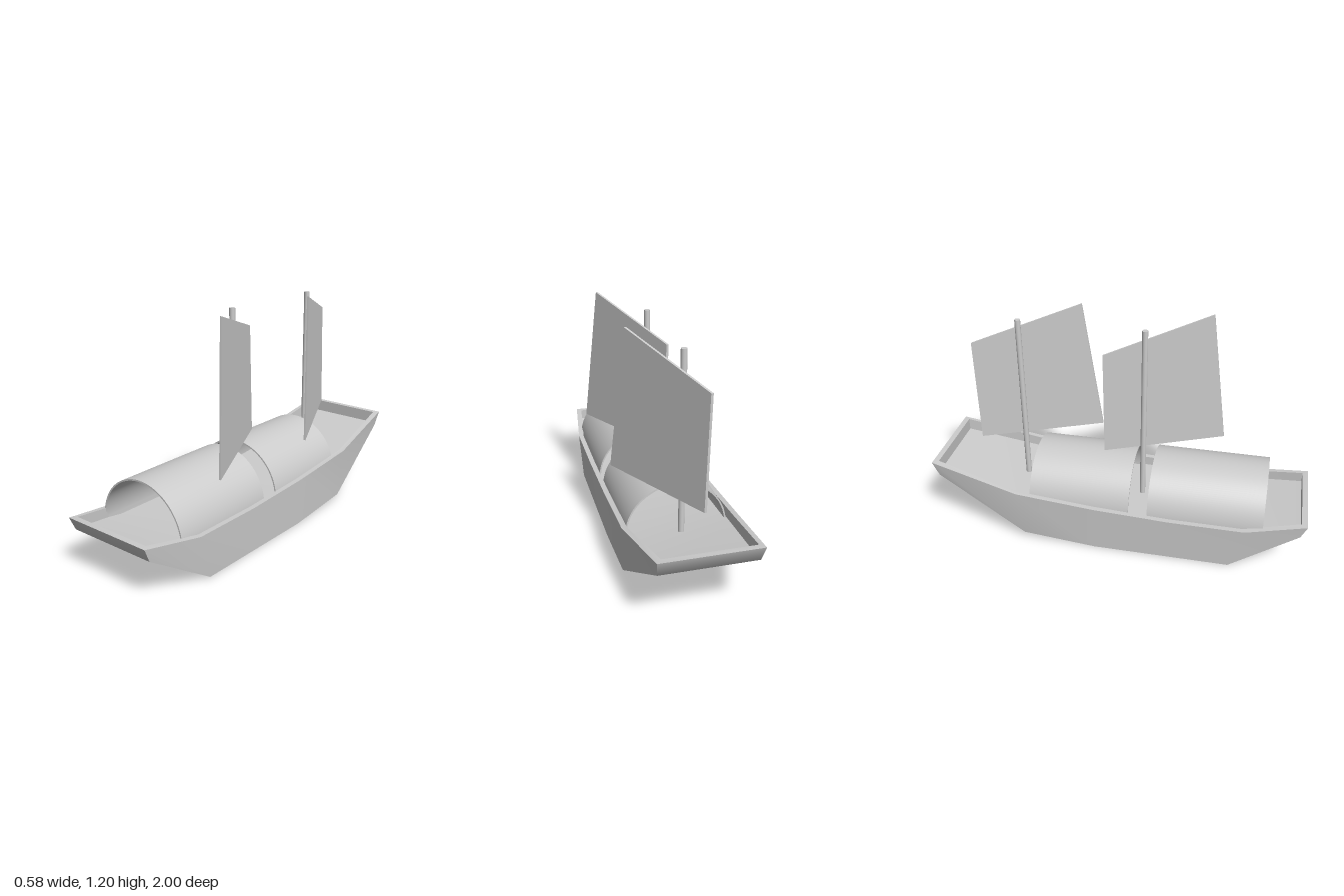
import * as THREE from 'three';
import { toCreasedNormals } from 'three/addons/utils/BufferGeometryUtils.js';

const material = new THREE.MeshStandardMaterial({ color: 0xcccccc });

function addMesh(parent, name, geometry) {
  const mesh = new THREE.Mesh(geometry, material);
  mesh.name = name;
  parent.add(mesh);
  return mesh;
}

// Hull stations from bow to stern:
// rim [z, y, half width], keel [z, y, half width], inner edge [z, half width], deck y
const STATIONS = [
  { rim: [1.0, 0.29, 0.25], keel: [0.97, 0.22, 0.245], inner: [0.97, 0.225], deck: 0.235 },
  { rim: [0.69, 0.24, 0.29], keel: [0.62, 0.0, 0.28], inner: [0.68, 0.263], deck: 0.19 },
  { rim: [0.3, 0.24, 0.29], keel: [0.3, 0.0, 0.28], inner: [0.3, 0.263], deck: 0.19 },
  { rim: [-0.1, 0.258, 0.29], keel: [-0.1, 0.0, 0.28], inner: [-0.1, 0.263], deck: 0.205 },
  { rim: [-0.52, 0.295, 0.29], keel: [-0.49, 0.035, 0.28], inner: [-0.52, 0.263], deck: 0.24 },
  { rim: [-1.0, 0.4, 0.245], keel: [-0.97, 0.32, 0.235], inner: [-0.97, 0.22], deck: 0.335 },
];

function hullGeometry() {
  const loops = STATIONS.map(({ rim, keel, inner, deck }) => {
    // rim height where the inner edge sits, kept level with the outer rim
    const y = rim[1];
    return [
      [rim[2], y, rim[0]], [keel[2], keel[1], keel[0]],
      [-keel[2], keel[1], keel[0]], [-rim[2], y, rim[0]],
      [-inner[1], y, inner[0]], [-inner[1], deck, inner[0]],
      [inner[1], deck, inner[0]], [inner[1], y, inner[0]],
    ];
  });
  const positions = [];
  const quad = (a, b, c, d) => positions.push(...a, ...b, ...c, ...a, ...c, ...d);

  // sides, bottom, rim, inner walls and deck
  for (let i = 0; i < loops.length - 1; i++) {
    const a = loops[i], b = loops[i + 1];
    for (let k = 0; k < 8; k++) {
      const n = (k + 1) % 8;
      quad(a[k], a[n], b[n], b[k]);
    }
  }
  // transom, rim strip and inner wall at both ends
  const ends = [[3, 2, 1, 0], [0, 7, 4, 3], [7, 6, 5, 4]];
  const bow = loops[0], stern = loops[loops.length - 1];
  for (const f of ends) {
    quad(...f.map((k) => bow[k]));
    quad(...[...f].reverse().map((k) => stern[k]));
  }
  const geometry = new THREE.BufferGeometry();
  geometry.setAttribute('position', new THREE.Float32BufferAttribute(positions, 3));
  return toCreasedNormals(geometry, 0.8);
}

// Thin arched shelter running along z
function canopyGeometry(length) {
  const dip = 0.07, r = 0.26, t = 0.008;
  const shape = new THREE.Shape();
  shape.absarc(0, 0, r, -dip, Math.PI + dip, false);
  shape.absarc(0, 0, r - t, Math.PI + dip, -dip, true);
  const geometry = new THREE.ExtrudeGeometry(shape, { depth: length, bevelEnabled: false, curveSegments: 40 });
  return toCreasedNormals(geometry, 0.6);
}

// Four-cornered sail, drawn in (z, y) and slanted across the boat
function sailGeometry() {
  const corners = [[0.52, 0.455], [-0.09, 0.475], [-0.09, 1.045], [0.43, 1.2]];
  const shape = new THREE.Shape(corners.map(([z, y]) => new THREE.Vector2(-z, y)));
  const geometry = new THREE.ExtrudeGeometry(shape, { depth: 0.011, bevelEnabled: false });
  geometry.rotateY(Math.PI / 2);
  const p = geometry.attributes.position;
  for (let i = 0; i < p.count; i++) {
    const slant = -0.045 + 0.492 * (p.getZ(i) + 0.09) - 0.024 * (p.getY(i) - 0.475);
    p.setX(i, p.getX(i) + slant);
  }
  geometry.computeVertexNormals();
  return geometry;
}

export function createModel() {
  const boat = new THREE.Group();
  boat.name = 'sailingBoat';

  addMesh(boat, 'hull', hullGeometry());

  // shelters: [name, back z, front z, centre height]
  for (const [name, back, front, y] of [
    ['frontCanopy', 0.18, 0.78, 0.208],
    ['rearCanopy', -0.457, 0.08, 0.205],
  ]) {
    addMesh(boat, name, canopyGeometry(front - back)).position.set(0, y, back);
  }

  // masts with their sails
  const base = 0.18, top = 1.172;
  for (const [name, z] of [['front', 0.112], ['rear', -0.54]]) {
    const rig = new THREE.Group();
    rig.name = name + 'Rig';
    const mast = addMesh(rig, name + 'Mast', new THREE.CylinderGeometry(0.015, 0.015, top - base, 20));
    mast.position.set(0, (base + top) / 2, z);
    const sail = addMesh(rig, name + 'Sail', sailGeometry());
    sail.position.z = name === 'front' ? 0 : -0.687;
    boat.add(rig);
  }
  return boat;
}
